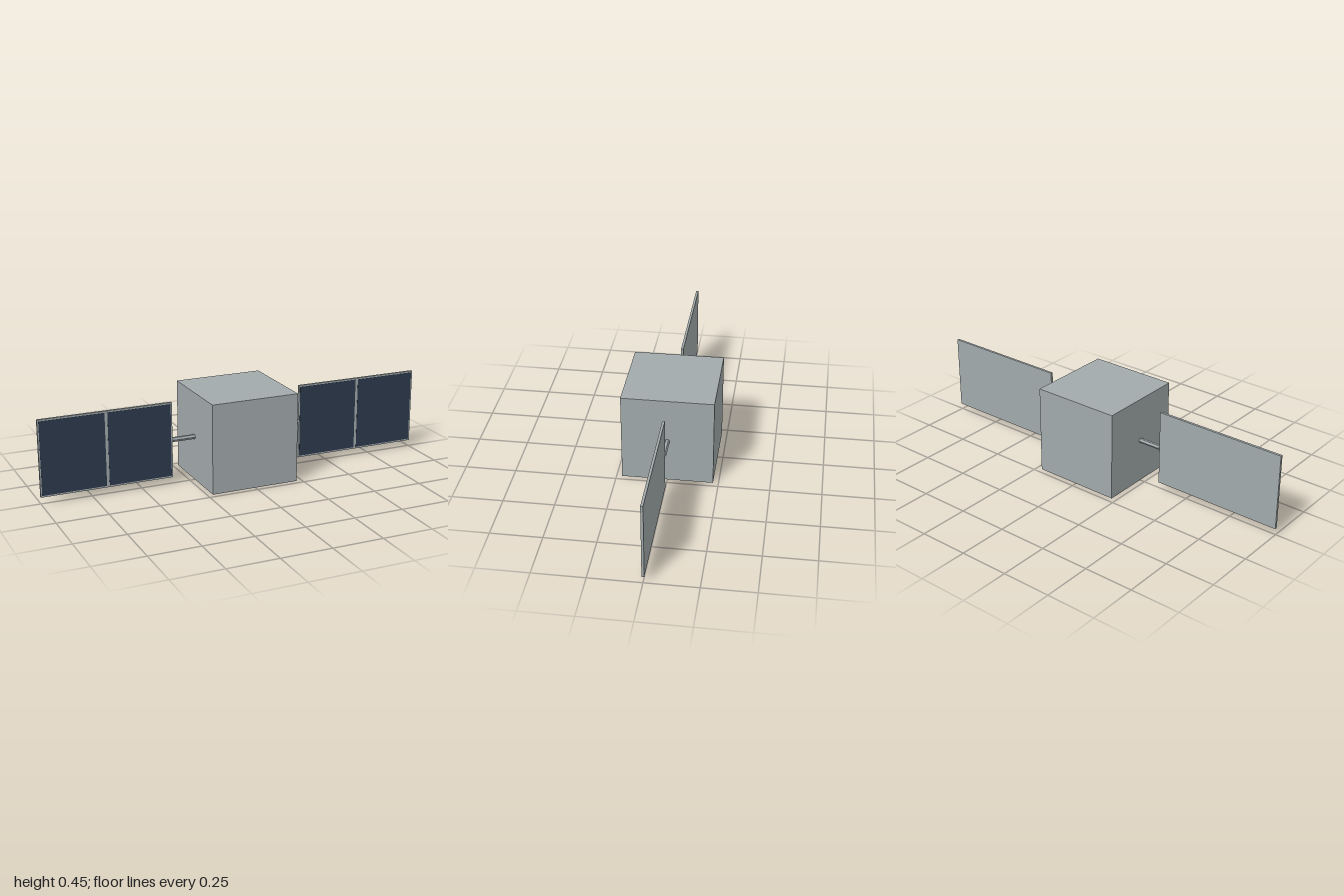
import * as THREE from 'three';

export function createModel() {
  const model = new THREE.Group();
  model.name = 'satellite';

  const metal = new THREE.MeshStandardMaterial({ color: 0xa2aaac });
  metal.name = 'grey metal';
  const cellBlue = new THREE.MeshStandardMaterial({ color: 0x2c3a4e });
  cellBlue.name = 'dark blue cell';

  const size = 0.446;      // body cube
  const midY = size / 2;

  const add = (parent, name, geometry, material, x, y, z) => {
    const mesh = new THREE.Mesh(geometry, material);
    mesh.name = name;
    mesh.position.set(x, y, z);
    parent.add(mesh);
    return mesh;
  };

  // Main body
  add(model, 'body', new THREE.BoxGeometry(size, size, size), metal, 0, midY, 0);

  // Solar wings, mirrored on both sides
  const inner = 0.34, outer = 1, panelHeight = 0.38, panelDepth = 0.012;
  const panelX = (inner + outer) / 2;
  const cellWidth = 0.316, cellHeight = 0.364, cellDepth = 0.001;

  for (const side of [1, -1]) {
    const wing = new THREE.Group();
    wing.name = side > 0 ? 'leftWing' : 'rightWing';
    model.add(wing);

    // Hexagonal strut between body and panel
    const strutLength = inner - size / 2;
    const strutGeometry = new THREE.CylinderGeometry(0.012, 0.012, strutLength, 6).toNonIndexed();
    strutGeometry.rotateZ(Math.PI / 2);
    strutGeometry.computeVertexNormals();
    add(wing, 'strut', strutGeometry, metal, side * (inner + size / 2) / 2, midY, 0);

    // Panel frame and backing
    add(wing, 'panel', new THREE.BoxGeometry(outer - inner, panelHeight, panelDepth), metal,
      side * panelX, midY, 0);

    // Two cells on the front face
    for (const offset of [-1, 1]) {
      add(wing, 'solarCell', new THREE.BoxGeometry(cellWidth, cellHeight, cellDepth), cellBlue,
        side * panelX + offset * (cellWidth / 2 + 0.007), midY, panelDepth / 2 + cellDepth / 2);
    }
  }

  return model;
}
